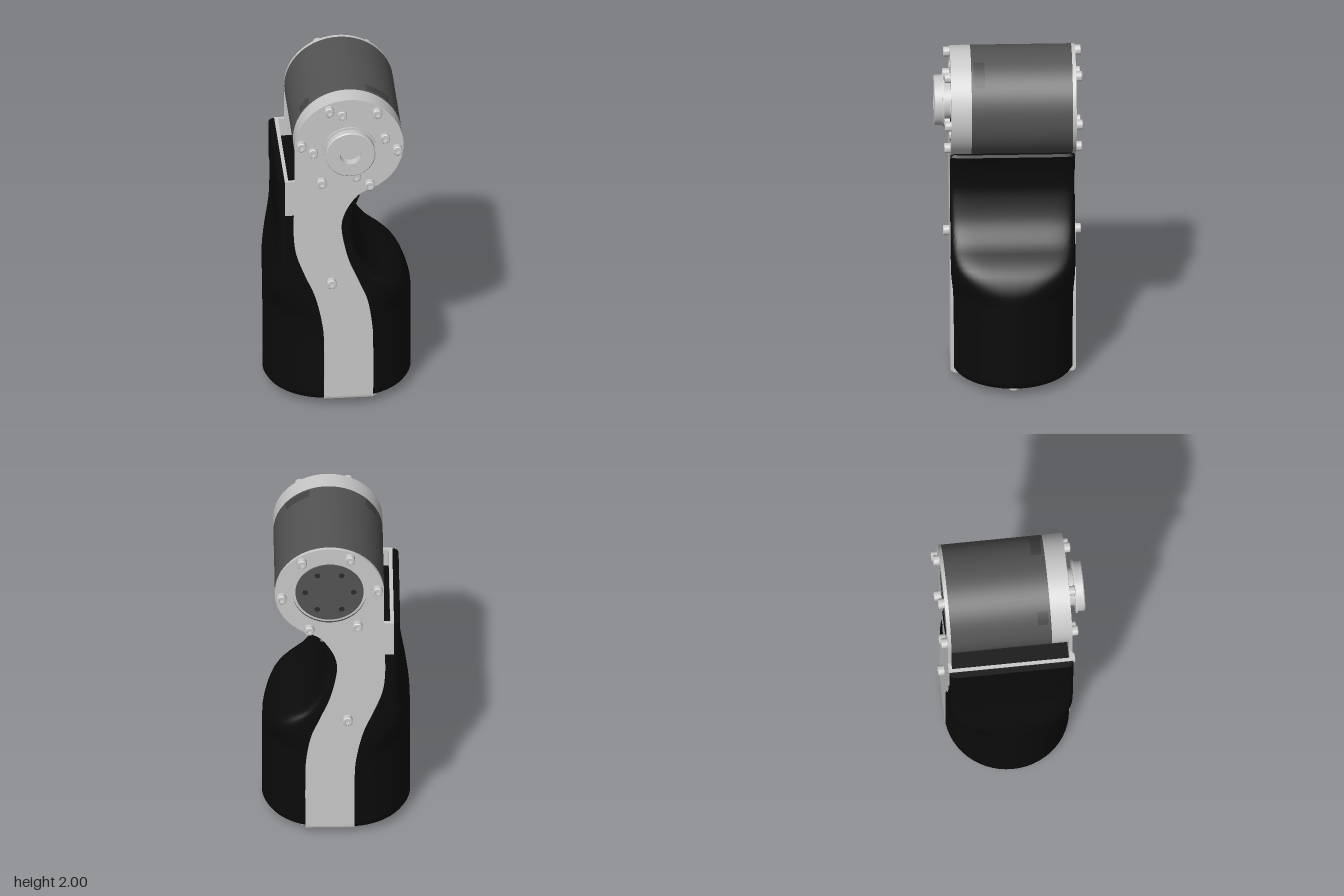
import * as THREE from 'three';
import { toCreasedNormals } from 'three/addons/utils/BufferGeometryUtils.js';

const mat = (name, color) => Object.assign(new THREE.MeshStandardMaterial({ color }), { name });
const V2 = (p) => p.map(([a, b]) => new THREE.Vector2(a, b));
const CX = 0.04, CY = 1.695, CZ = -0.03, R = 0.305; // motor axis, depth centre, motor radius

export function createModel() {
  const root = new THREE.Group();
  root.name = 'robotArmJoint';
  const metal = mat('lightMetal', 0xcacaca);
  const dark = mat('darkGrey', 0x545454);
  const label = mat('labelGrey', 0x454545);
  const black = mat('blackShell', 0x0b0b0b);
  const hole = mat('holeGrey', 0x2c2c2c);

  const add = (name, geo, material, parent = root) => {
    const m = new THREE.Mesh(geo, material);
    m.name = name;
    parent.add(m);
    return m;
  };
  const extrude = (shape, depth) =>
    toCreasedNormals(new THREE.ExtrudeGeometry(shape, { depth, bevelEnabled: false, curveSegments: 40 }), 0.5);
  // Cylinder along z between two depths, on the motor axis
  const disc = (name, r, z0, z1, material) =>
    add(name, new THREE.CylinderGeometry(r, r, z1 - z0, 64).rotateX(Math.PI / 2)
      .translate(CX, CY, (z0 + z1) / 2), material);

  // Black shell: lofted from a round-ended foot to a boxy neck
  const table = (pts) => {
    const c = new THREE.SplineCurve(V2(pts)).getPoints(200);
    return (y) => {
      let i = 1;
      while (i < c.length - 1 && c[i].x < y) i++;
      const a = c[i - 1], b = c[i];
      return a.y + (b.y - a.y) * THREE.MathUtils.clamp((y - a.x) / (b.x - a.x), 0, 1);
    };
  };
  const outL = table([[0.04, -0.415], [0.35, -0.415], [0.68, -0.414], [0.8, -0.4], [0.95, -0.37], [1.05, -0.358], [1.2, -0.355], [1.37, -0.355]]);
  const outR = table([[0.04, 0.413], [0.35, 0.413], [0.58, 0.412], [0.66, 0.4], [0.74, 0.355], [0.8, 0.28], [0.85, 0.2],
    [0.95, 0.12], [1.1, 0.07], [1.2, 0.065], [1.29, 0.08], [1.37, 0.112]]);
  const flatL = table([[0.04, -0.07], [0.5, -0.08], [0.87, -0.19], [1.1, -0.24], [1.37, -0.25]]);
  const flatR = table([[0.04, 0.07], [0.5, 0.08], [0.68, 0.09], [0.8, 0.08], [0.95, 0.03], [1.1, 0], [1.2, -0.005], [1.37, 0.06]]);

  const rows = [[0.04, 0.03], [0.05, 0.012], [0.07, 0]];
  for (let i = 1; i <= 60; i++) rows.push([0.07 + (1.355 - 0.07) * i / 60, 0]);
  rows.push([1.37, 0.014]);
  const pos = [], idx = [], SEG = 28, M = 2 * (SEG + 1);
  for (const [y, inset] of rows) {
    const n = 2 + 6 * THREE.MathUtils.smoothstep(y, 0.55, 1.05);
    for (const s of [1, -1]) {
      const flat = s > 0 ? flatR(y) : flatL(y);
      const out = (s > 0 ? outR(y) : outL(y)) - s * inset;
      for (let j = 0; j <= SEG; j++) {
        const t = s * (j / SEG - 0.5) * Math.PI;
        const c = Math.pow(Math.max(0, Math.cos(t)), 2 / n);
        const z = Math.sign(Math.sin(t)) * Math.pow(Math.abs(Math.sin(t)), 2 / n);
        pos.push(flat + (out - flat) * c, y, CZ + (0.348 - inset) * z);
      }
    }
  }
  for (let i = 0; i < rows.length - 1; i++) {
    for (let j = 0; j < M; j++) {
      const a = i * M + j, b = i * M + (j + 1) % M;
      idx.push(a, a + M, b, b, a + M, b + M);
    }
  }
  const bottom = rows.length * M, last = (rows.length - 1) * M;
  pos.push(0, 0.04, CZ, -0.1, 1.37, CZ);
  for (let j = 0; j < M; j++) {
    const k = (j + 1) % M;
    idx.push(bottom, j, k, bottom + 1, last + k, last + j);
  }
  const shell = new THREE.BufferGeometry();
  shell.setAttribute('position', new THREE.Float32BufferAttribute(pos, 3));
  shell.setIndex(idx);
  add('shell', toCreasedNormals(shell, 0.7), black);

  // Raised wall of the shell behind the motor, with rounded outer corners
  const lip = new THREE.Shape();
  lip.moveTo(-0.32, -0.378);
  lip.lineTo(-0.32, 0.318);
  lip.quadraticCurveTo(-0.355, 0.318, -0.355, 0.27);
  lip.lineTo(-0.355, -0.33);
  lip.quadraticCurveTo(-0.355, -0.378, -0.32, -0.378);
  add('shellBackWall', extrude(lip, 0.215).rotateX(Math.PI / 2).translate(0, 1.475, 0), black);

  // Side plates: motor ring running into a curved strap
  const sidePlate = (holeR) => {
    const s = new THREE.Shape();
    s.moveTo(-0.265, 1.48);
    s.lineTo(-0.265, CY);
    s.absarc(CX, CY, R, Math.PI, -1.16, true);
    s.splineThru(V2([[0.09, 1.375], [0.03, 1.29], [0, 1.2], [0.005, 1.1], [0.04, 0.95], [0.1, 0.8],
      [0.145, 0.68], [0.17, 0.52], [0.175, 0.38], [0.175, 0.07]]));
    s.lineTo(-0.1, 0.07);
    s.splineThru(V2([[-0.1, 0.4], [-0.112, 0.55], [-0.15, 0.72], [-0.21, 0.87], [-0.255, 1.0], [-0.27, 1.12], [-0.27, 1.26]]));
    s.lineTo(-0.32, 1.26);
    s.lineTo(-0.32, 1.48);
    s.holes.push(new THREE.Path().absarc(CX, CY, holeR, 0, Math.PI * 2, true));
    return extrude(s, 0.02);
  };
  add('frontPlate', sidePlate(0.235).translate(0, 0, 0.3), metal);
  add('backPlate', sidePlate(0.205).translate(0, 0, -0.38), metal);
  add('bracketWall', new THREE.BoxGeometry(0.02, 0.22, 0.66).translate(-0.31, 1.37, CZ), metal);

  // Strap bent under the foot
  const strap = new THREE.Shape();
  strap.moveTo(-0.35, 0.075);
  strap.lineTo(-0.35, 0.067);
  strap.quadraticCurveTo(-0.35, 0.037, -0.32, 0.037);
  strap.lineTo(0.32, 0.037);
  strap.quadraticCurveTo(0.35, 0.037, 0.35, 0.067);
  strap.lineTo(0.35, 0.075);
  add('footStrap', extrude(strap, 0.275).rotateY(Math.PI / 2).translate(-0.1, 0, CZ), metal);

  // Motor
  disc('motorBody', R, -0.36, 0.205, dark);
  disc('motorFlange', R, 0.205, 0.301, metal);
  disc('backRecess', 0.207, -0.366, -0.358, metal);
  disc('backOutputDisc', 0.19, -0.374, -0.362, dark);
  for (const [from, to] of [[20, 50.4], [-60, -43.5]]) {
    const rad = Math.PI / 180;
    add('motorLabel', new THREE.CylinderGeometry(R + 0.002, R + 0.002, 0.06, 12, 1, true, Math.PI - to * rad, (to - from) * rad)
      .rotateX(Math.PI / 2).translate(CX, CY, 0.16), label);
  }
  const hub = new THREE.LatheGeometry(V2([[0.105, 0.3], [0.105, 0.355], [0.15, 0.355], [0.15, 0.366], [0.14, 0.366],
    [0.14, 0.405], [0.135, 0.41], [0.06, 0.41], [0.06, 0.36], [0, 0.36]]), 48);
  add('outputHub', toCreasedNormals(hub.rotateX(Math.PI / 2).translate(CX, CY, 0), 0.5), metal);

  // Foot flange
  add('footRing', new THREE.CylinderGeometry(R, R, 0.02, 64).translate(CX, 0.043, CZ), metal);
  add('footRingLip', new THREE.TorusGeometry(0.208, 0.005, 6, 64).rotateX(Math.PI / 2).translate(CX, 0.033, CZ), metal);
  add('footDisc', new THREE.CylinderGeometry(0.19, 0.19, 0.02, 64).translate(CX, 0.039, CZ), dark);

  // Socket-head bolts
  const boltGeo = toCreasedNormals(new THREE.LatheGeometry(
    V2([[0.028, -0.005], [0.028, 0.031], [0.024, 0.035], [0.014, 0.035], [0.014, 0.015], [0, 0.015]]), 20), 0.5);
  const bolt = (name, x, y, z, tilt) => {
    const b = add(name, boltGeo, metal);
    b.position.set(x, y, z);
    b.rotation.x = tilt;
  };
  const Q = Math.PI / 2;
  for (let i = 0; i < 6; i++) {
    const a = i * Math.PI / 3, b = a - 0.09;
    const x = CX + 0.27 * Math.cos(b), y = CY + 0.27 * Math.sin(b);
    bolt('frontBolt', x, y, 0.32, Q);
    bolt('backBolt', x, y, -0.38, -Q);
    bolt('footBolt', CX + 0.27 * Math.cos(a), 0.035, CZ + 0.27 * Math.sin(a), Math.PI);
    // Threaded holes in the two dark output discs
    const hx = CX + 0.135 * Math.cos(a), hs = 0.135 * Math.sin(a);
    add('backDiscHole', new THREE.CylinderGeometry(0.016, 0.016, 0.004, 16).rotateX(Q).translate(hx, CY + hs, -0.373), hole);
    add('footDiscHole', new THREE.CylinderGeometry(0.016, 0.016, 0.004, 16).translate(hx, 0.03, CZ + hs), hole);
  }
  for (let i = 0; i < 4; i++) {
    const a = 0.19 + i * Q;
    bolt('recessedScrew', CX + 0.205 * Math.cos(a), CY + 0.205 * Math.sin(a), 0.29, Q);
  }
  bolt('strapBoltFront', -0.06, 0.815, 0.32, Q);
  bolt('strapBoltBack', -0.06, 0.815, -0.38, -Q);
  return root;
}
